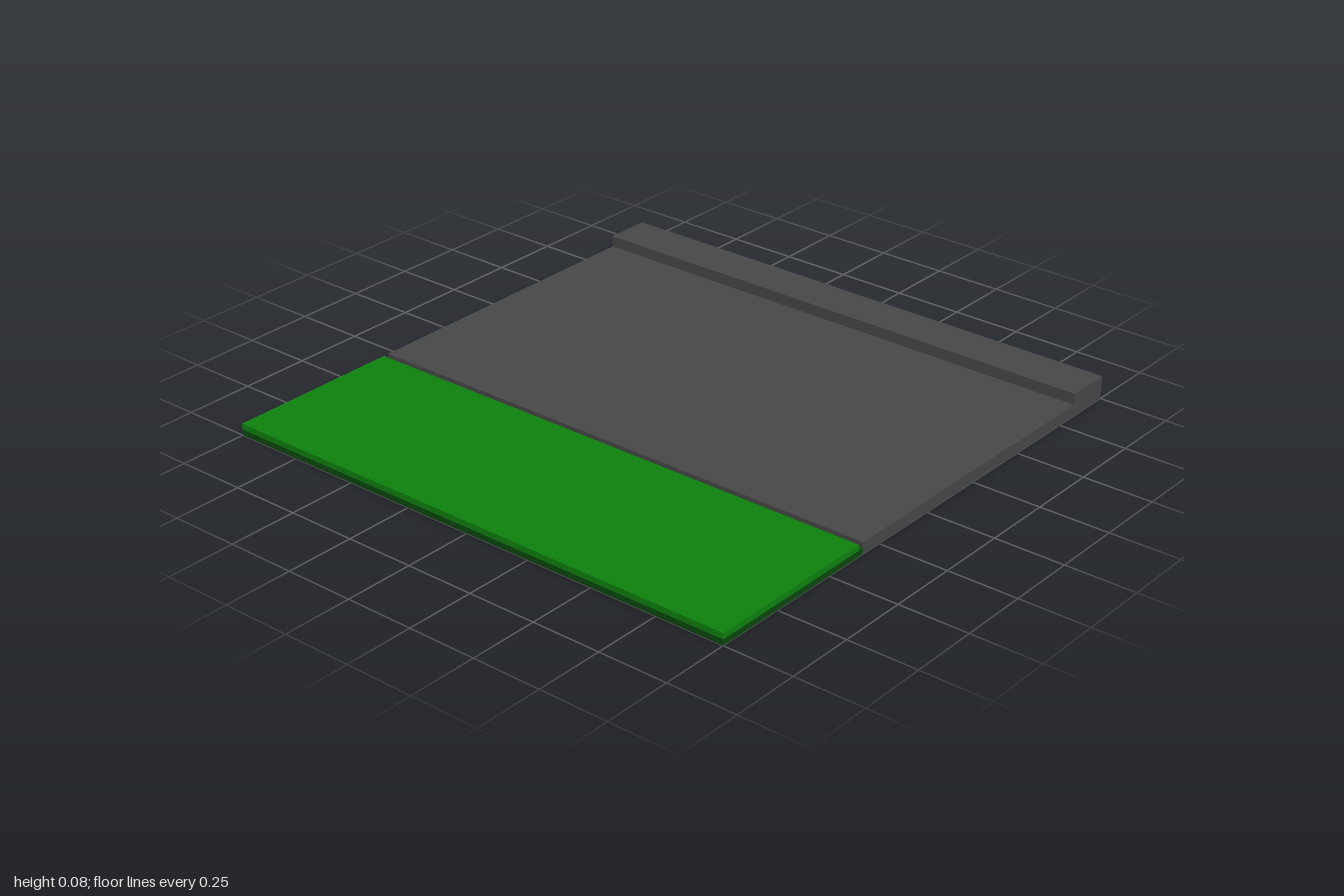
import * as THREE from 'three';

export function createModel() {
  const model = new THREE.Group();
  model.name = 'roadsideTile';

  const material = (name, color) => {
    const m = new THREE.MeshStandardMaterial({ color });
    m.name = name;
    return m;
  };
  const asphalt = material('asphalt grey', 0x484848);
  const grass = material('grass green', 0x0e820e);
  const soil = material('dark green', 0x0b480f);

  // Full-width slab between two heights and two depths
  const slab = (name, mat, y0, y1, z0, z1) => {
    const mesh = new THREE.Mesh(new THREE.BoxGeometry(2, y1 - y0, z1 - z0), mat);
    mesh.position.set(0, (y0 + y1) / 2, (z0 + z1) / 2);
    mesh.name = name;
    model.add(mesh);
  };

  // Paved area with the raised kerb along the back
  slab('pavement', asphalt, 0, 0.042, -0.833, 0.333);
  slab('kerb', asphalt, 0, 0.083, -1, -0.833);

  // Verge: dark base with a lawn on top, set back to leave a narrow groove
  slab('vergeBase', soil, 0, 0.021, 0.333, 1);
  slab('lawn', grass, 0.021, 0.042, 0.354, 1);

  return model;
}
